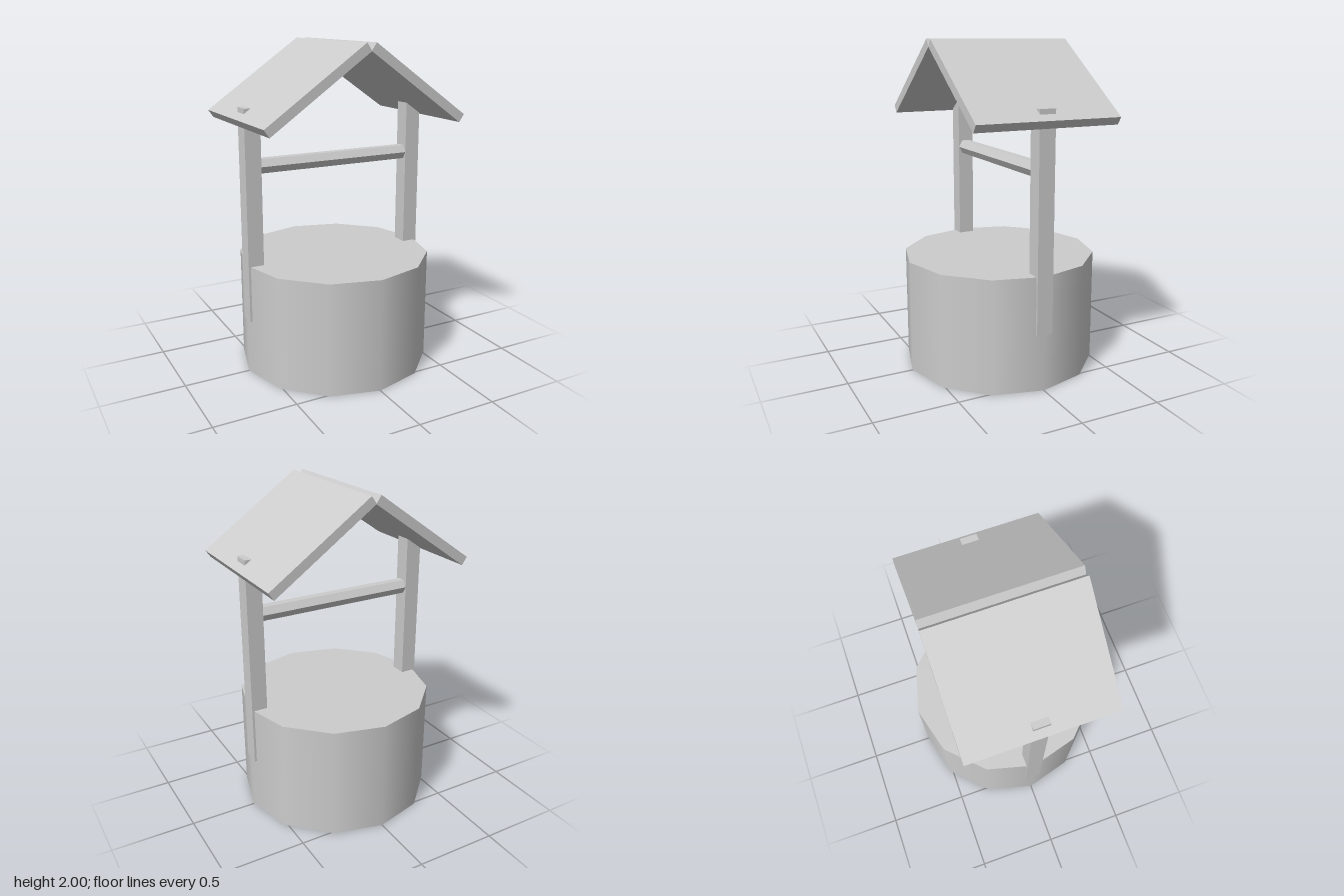
import * as THREE from 'three';

export function createModel() {
  const model = new THREE.Group();
  model.name = 'well';

  const grey = new THREE.MeshStandardMaterial({ color: 0xcccccc });
  grey.name = 'plain grey';

  const add = (name, geometry, x, y, z = 0) => {
    const mesh = new THREE.Mesh(geometry, grey);
    mesh.name = name;
    mesh.position.set(x, y, z);
    model.add(mesh);
    return mesh;
  };

  // Twelve-sided base with smooth sides and flat caps
  const baseHeight = 0.695;
  add('wellBase', new THREE.CylinderGeometry(0.593, 0.593, baseHeight, 12), 0, baseHeight / 2);

  // Six-sided crossbar, a corner facing forward and flat on top
  const bar = new THREE.CylinderGeometry(0.049, 0.049, 0.99, 6).toNonIndexed();
  bar.rotateZ(Math.PI / 2);
  bar.computeVertexNormals();
  add('crossbar', bar, 0, 1.292);

  // Posts and sloping roof panels, mirrored left and right
  const postBottom = 0.345, postTop = 1.635;
  for (const [side, s] of [['left', 1], ['right', -1]]) {
    add(side + 'Post', new THREE.BoxGeometry(0.098, postTop - postBottom, 0.1),
      s * 0.544, (postBottom + postTop) / 2);

    const panel = add(side + 'RoofPanel', new THREE.BoxGeometry(0.742, 0.055, 0.89), s * 0.318, 1.765);
    panel.rotation.z = -s * THREE.MathUtils.degToRad(35);
  }

  return model;
}
